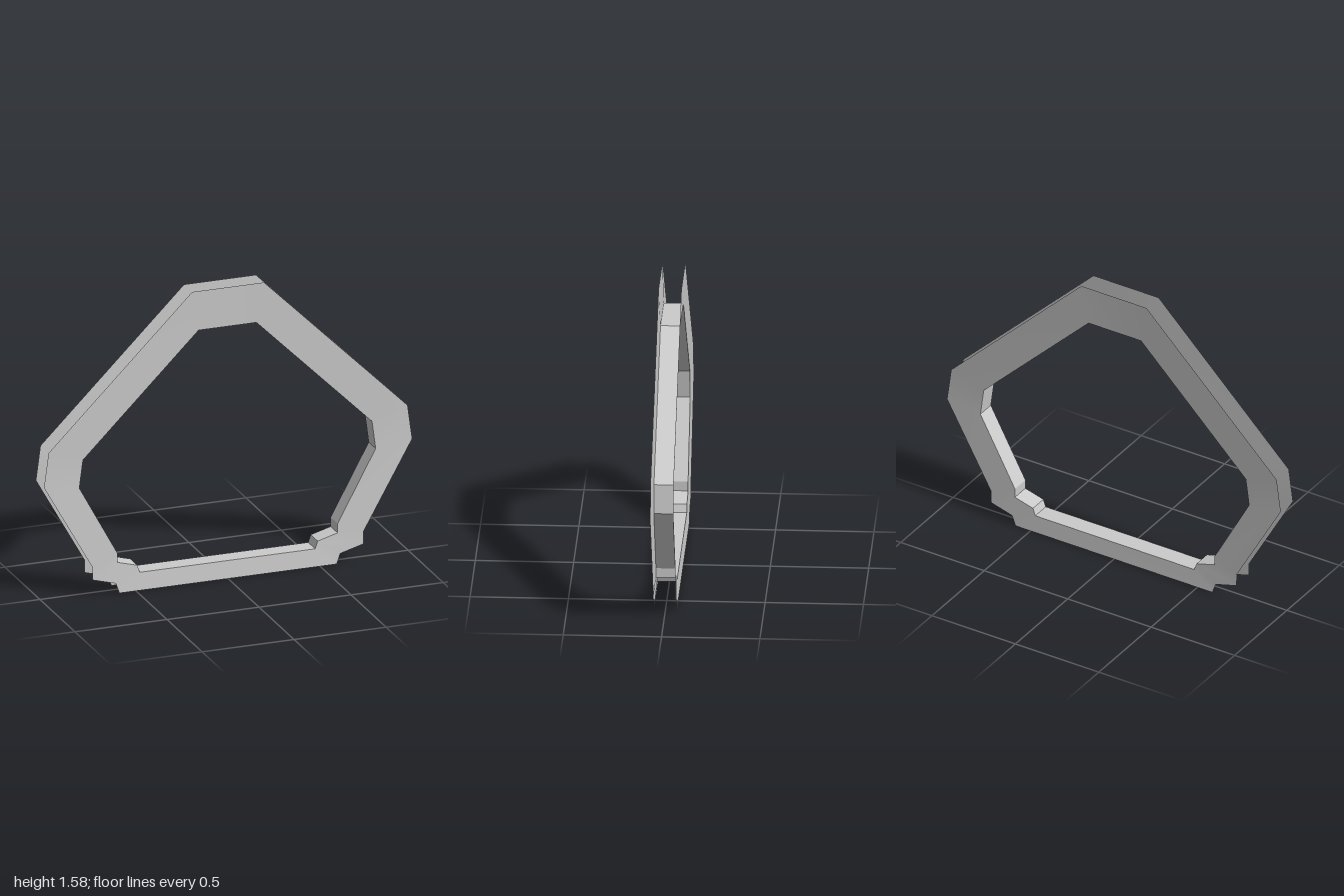
import * as THREE from 'three';

// Right half of each outline, from top to bottom
const OUTER = [[0.195, 1.58], [0.975, 0.81], [1, 0.625], [0.737, 0.16], [0.735, 0.09], [0.61, 0.055], [0.59, 0]];
const INNER = [[0.157, 1.365], [0.785, 0.745], [0.805, 0.595], [0.598, 0.215], [0.598, 0.165], [0.49, 0.135], [0.476, 0.095]];
const INNER_Z = 0.05;
const OUTER_Z = 0.058;

// Full closed loop, clockwise seen from +z, at depth z
function loop(half, z) {
  const mirrored = half.map(([x, y]) => [-x, y]).reverse();
  return [...half, ...mirrored].map(([x, y]) => [x, y, z]);
}

// Closed strip of quads between two matching loops
function strip(name, a, b, flat) {
  const n = a.length;
  const index = [];
  for (let i = 0; i < n; i++) {
    const j = (i + 1) % n;
    index.push(i, n + i, n + j, i, n + j, j);
  }
  let geometry = new THREE.BufferGeometry();
  geometry.setAttribute('position', new THREE.Float32BufferAttribute([...a, ...b].flat(), 3));
  geometry.setIndex(index);
  if (flat) geometry = geometry.toNonIndexed();
  geometry.computeVertexNormals();
  const material = new THREE.MeshStandardMaterial({ color: 0xcccccc, side: THREE.DoubleSide, flatShading: flat });
  const mesh = new THREE.Mesh(geometry, material);
  mesh.name = name;
  return mesh;
}

export function createModel() {
  const group = new THREE.Group();
  group.name = 'channelFrame';

  const frontOuter = loop(OUTER, OUTER_Z);
  const backOuter = loop(OUTER, -OUTER_Z);
  const frontInner = loop(INNER, INNER_Z);
  const backInner = loop(INNER, -INNER_Z);

  // Thin flanges flare slightly apart; the channel is open on its outside
  group.add(strip('frontFlange', frontOuter, frontInner, false));
  group.add(strip('backFlange', backInner, backOuter, false));
  // Wall around the opening
  group.add(strip('innerWall', frontInner, backInner, true));

  return group;
}
